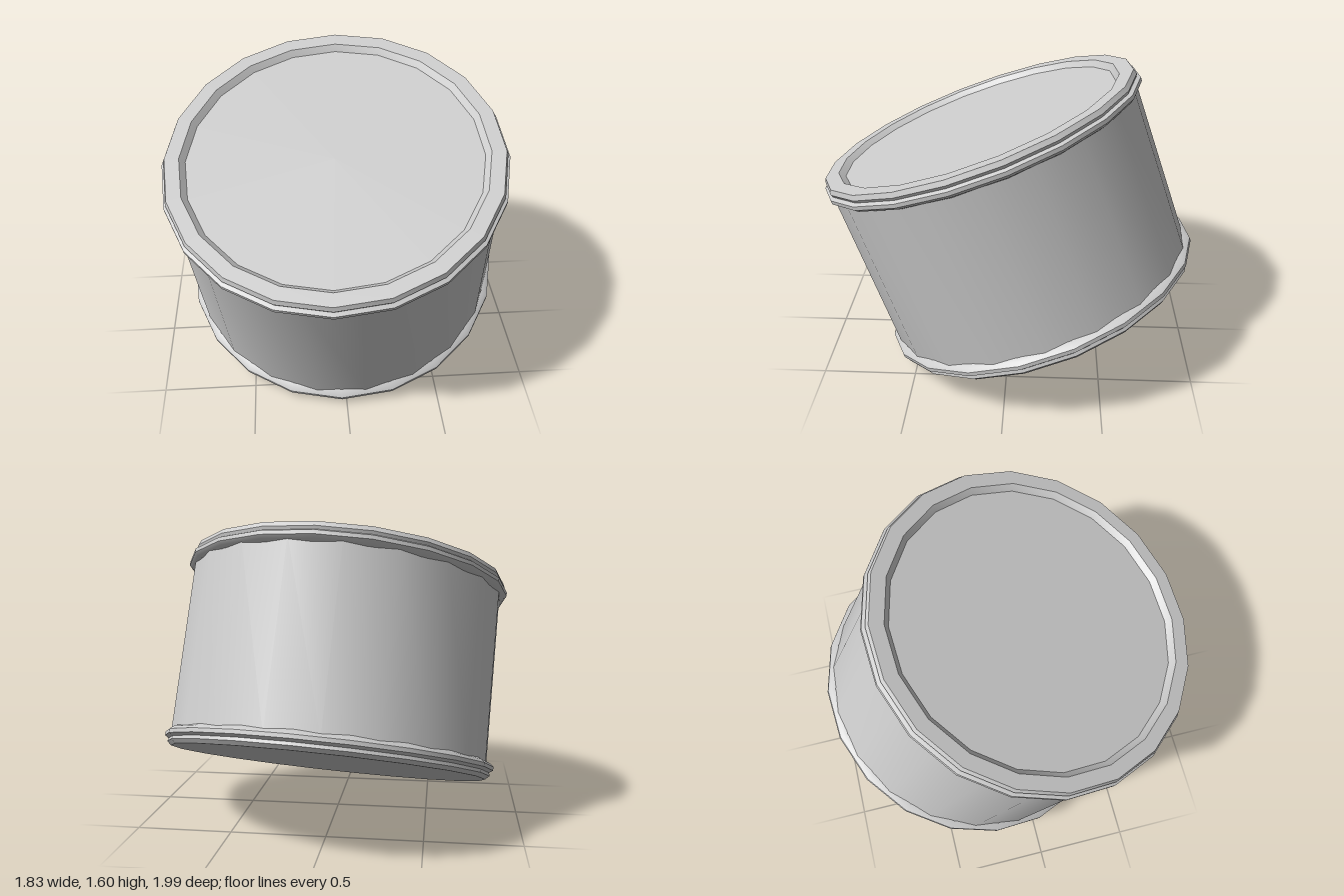
import * as THREE from 'three';
import { toCreasedNormals } from 'three/addons/utils/BufferGeometryUtils.js';

const SIDES = 20;
const TWIST = THREE.MathUtils.degToRad(-4.5);
const HALF_STEP = Math.PI / SIDES;

export function createModel() {
  const model = new THREE.Group();
  model.name = 'tiltedTin';
  const material = new THREE.MeshStandardMaterial({ color: 0xcccccc });

  // The tin is built upright around its own centre, then tilted
  const tin = new THREE.Group();
  tin.name = 'tin';
  tin.position.y = 0.79;
  const axis = new THREE.Vector3(-0.07, 1, 0.365).normalize();
  tin.quaternion.setFromUnitVectors(new THREE.Vector3(0, 1, 0), axis);
  model.add(tin);

  const add = (name, geometry) => {
    const mesh = new THREE.Mesh(geometry, material);
    mesh.name = name;
    tin.add(mesh);
    return mesh;
  };
  const lathe = (name, points, start) => add(name, toCreasedNormals(
    new THREE.LatheGeometry(points.map(([r, y]) => new THREE.Vector2(r, y)), SIDES, start), 0.4));
  const disc = (name, radius, y, facing) => {
    // Circle vertices are lined up with the lathe vertices
    const geometry = new THREE.CircleGeometry(radius, SIDES, -Math.PI / 2 + facing * TWIST);
    geometry.rotateX(-facing * Math.PI / 2);
    add(name, geometry).position.y = y;
  };

  // Side wall, turned half a step against the rims
  lathe('body', [[0.858, -0.47], [0.858, 0.47]], TWIST + HALF_STEP);

  // Top rim: bead, groove, raised ring and the slope into the recess
  lathe('topRim', [
    [0.85, 0.44], [0.872, 0.45], [0.888, 0.465], [0.888, 0.485], [0.868, 0.495],
    [0.875, 0.51], [0.865, 0.535], [0.79, 0.535], [0.762, 0.505],
  ], TWIST);
  disc('lid', 0.762, 0.505, 1);

  // Bottom rim: foot, groove and bead
  lathe('bottomRim', [
    [0.85, -0.535], [0.872, -0.515], [0.868, -0.498], [0.888, -0.485],
    [0.888, -0.465], [0.872, -0.45], [0.85, -0.44],
  ], TWIST);
  disc('base', 0.85, -0.535, -1);

  return model;
}
